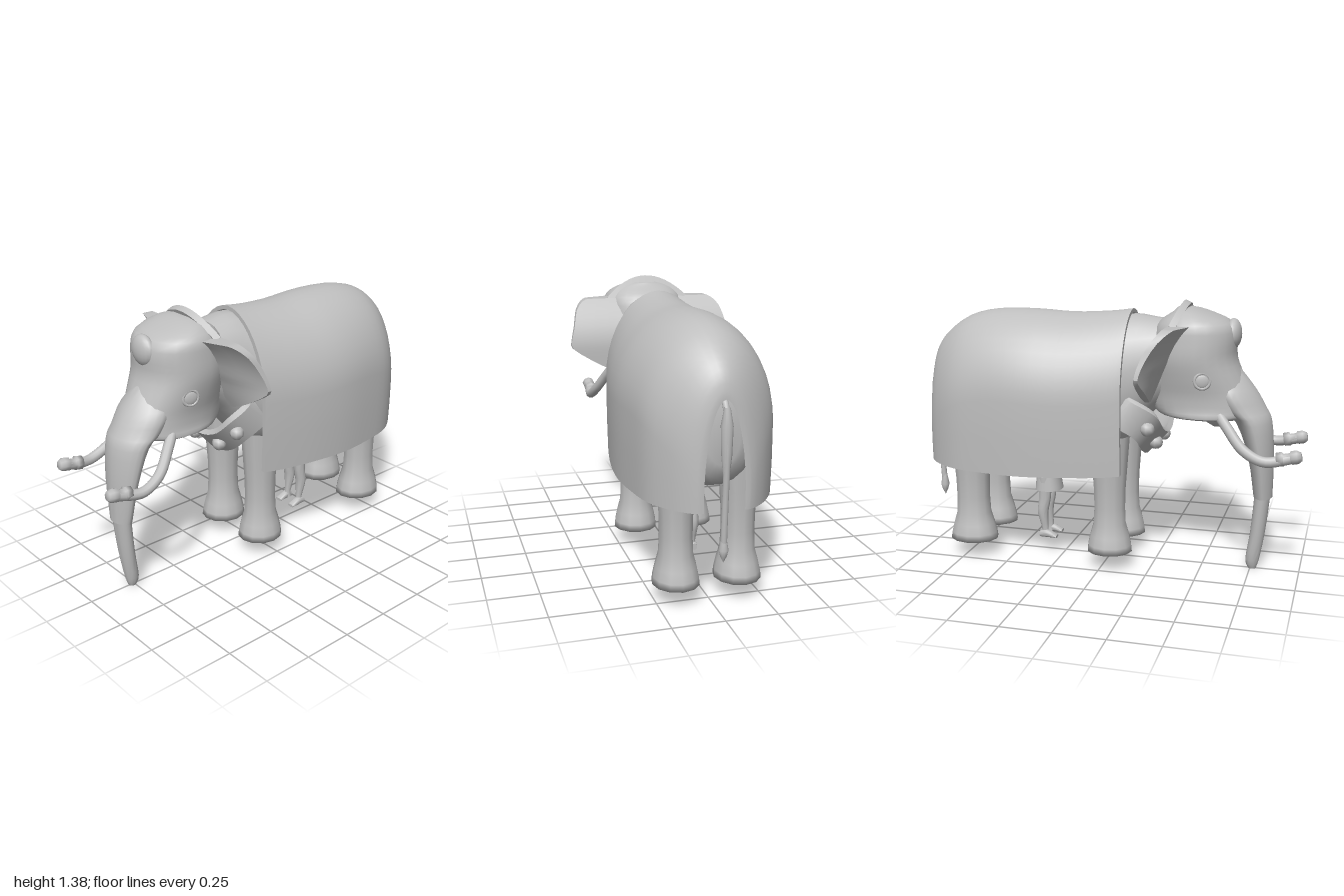
import * as THREE from 'three';
import { toCreasedNormals } from 'three/addons/utils/BufferGeometryUtils.js';

const V = (x, y, z) => new THREE.Vector3(x, y, z);

// Catmull-Rom resampling of rows of numbers, n steps per span
function smooth(rows, n = 3) {
  const out = [], row = i => rows[Math.max(0, Math.min(rows.length - 1, i))];
  for (let i = 0; i < rows.length - 1; i++)
    for (let k = 0; k < n; k++) {
      const t = k / n;
      out.push(rows[i].map((b, c) => {
        const a = row(i - 1)[c], d = row(i + 1)[c], e = row(i + 2)[c];
        return b + 0.5 * t * (d - a + t * (2 * a - 5 * b + 4 * d - e + t * (3 * (b - d) + e - a)));
      }));
    }
  out.push(rows[rows.length - 1]);
  return out;
}

// Skin through closed rings, with both ends capped
function loft(rings, crease = 0.8) {
  const m = rings[0].length, pts = rings.flat(), idx = [], last = (rings.length - 1) * m;
  for (let r = 0; r < rings.length - 1; r++)
    for (let i = 0; i < m; i++) {
      const a = r * m + i, b = r * m + (i + 1) % m;
      idx.push(a, b, b + m, a, b + m, a + m);
    }
  for (let i = 0; i < m / 2 - 1; i++) {
    const j = m - 1 - i;
    idx.push(i + 1, i, j, i + 1, j, j - 1);
    idx.push(last + i, last + i + 1, last + j - 1, last + i, last + j - 1, last + j);
  }
  let volume = 0;
  for (let i = 0; i < idx.length; i += 3)
    volume += pts[idx[i]].dot(pts[idx[i + 1]].clone().cross(pts[idx[i + 2]]));
  if (volume < 0) idx.reverse();
  const g = new THREE.BufferGeometry().setFromPoints(pts);
  g.setIndex(idx);
  return toCreasedNormals(g, crease);
}

// Superellipse ring: power under 1 is boxier, over 1 more pointed
const oval = (f, power) => Array.from({ length: 24 }, (_, i) => {
  const a = (i + 0.5) / 24 * Math.PI * 2;
  const p = v => Math.sign(v) * Math.abs(v) ** power;
  return f(p(Math.cos(a)), p(Math.sin(a)));
});
// rows: y, back z, front z, half width
const levelRings = (rows, power = 0.85, dx = 0) => smooth(rows).map(([y, b, f, w]) =>
  oval((c, s) => V(dx + w * c, y, (b + f) / 2 + s * (f - b) / 2), power));
// rows: z, top y, bottom y, half width
const uprightRings = (rows, power = 0.95, dx = 0) => smooth(rows).map(([z, t, b, w]) =>
  oval((c, s) => V(dx + w * c, (t + b) / 2 + s * (t - b) / 2, z), power));

export function createModel() {
  const model = new THREE.Group();
  const grey = new THREE.MeshStandardMaterial({ color: 0xbfbfbf });
  grey.name = 'grey';
  function add(name, geo, pos, parent = model) {
    const mesh = new THREE.Mesh(geo, grey);
    mesh.name = name;
    if (pos) mesh.position.set(...pos);
    parent.add(mesh);
    return mesh;
  }
  const tube = (pts, r, seg = 20) =>
    new THREE.TubeGeometry(new THREE.CatmullRomCurve3(pts.map(p => V(...p))), seg, r, 10);
  const lathe = (pts, n = 12) =>
    new THREE.LatheGeometry(pts.map(p => new THREE.Vector2(...p)), n);

  // Body and neck
  add('body', loft(uprightRings([
    [0.38, 1.27, 0.9, 0.15], [0.25, 1.285, 0.82, 0.18], [0.13, 1.3, 0.68, 0.21],
    [0, 1.28, 0.58, 0.26], [-0.35, 1.28, 0.54, 0.31], [-0.7, 1.24, 0.55, 0.26],
    [-0.87, 1.12, 0.6, 0.18], [-0.93, 1.0, 0.7, 0.08]])));

  // Blanket: thick arch sections, open at the rear for the tail
  const arch = (z, top, w, hem) => {
    const base = top - 0.43, pts = [V(w * 0.985, hem, z), V(w, (hem + base) / 2, z)];
    for (let i = 0; i <= 20; i++) {
      const a = i / 20 * Math.PI, c = Math.cos(a);
      pts.push(V(w * Math.sign(c) * Math.abs(c) ** 1.05, base + 0.43 * Math.abs(Math.sin(a)) ** 1.05, z));
    }
    pts.push(V(-w, (hem + base) / 2, z), V(-w * 0.985, hem, z));
    return pts;
  };
  add('blanket', loft(smooth([
    [0.12, 1.325, 0.28, 0.52], [0, 1.31, 0.305, 0.51], [-0.2, 1.3, 0.338, 0.505],
    [-0.4, 1.31, 0.35, 0.5], [-0.6, 1.305, 0.33, 0.5], [-0.76, 1.265, 0.295, 0.5],
    [-0.88, 1.18, 0.22, 0.5], [-0.94, 1.1, 0.155, 0.5], [-0.96, 1.02, 0.115, 0.5]])
    .map(([z, t, w, h]) => [...arch(z, t, w, h), ...arch(z, t - 0.02, w - 0.02, h).reverse()])));

  // Head, forehead bump, lip and trunk
  add('head', loft(levelRings([
    [1.34, 0.35, 0.43, 0.06], [1.32, 0.33, 0.5, 0.14], [1.27, 0.26, 0.62, 0.2],
    [1.2, 0.23, 0.648, 0.213], [1.1, 0.22, 0.65, 0.217], [1.0, 0.22, 0.69, 0.2],
    [0.92, 0.22, 0.725, 0.182], [0.85, 0.23, 0.74, 0.178], [0.81, 0.27, 0.72, 0.182],
    [0.795, 0.35, 0.68, 0.14]], 0.9)));
  add('foreheadBump', new THREE.SphereGeometry(0.076, 18, 12), [0, 1.215, 0.628]).scale.z = 0.55;
  add('lowerLip', loft(levelRings([
    [0.86, 0.4, 0.66, 0.1], [0.79, 0.47, 0.62, 0.07], [0.745, 0.54, 0.575, 0.025]])));
  add('upperTrunk', loft(levelRings([
    [1.08, 0.5, 0.64, 0.06], [0.95, 0.5, 0.745, 0.15], [0.85, 0.56, 0.805, 0.152],
    [0.78, 0.65, 0.835, 0.142], [0.6, 0.72, 0.85, 0.115], [0.39, 0.755, 0.85, 0.075]], 1.18)));
  add('lowerTrunk', loft(levelRings([
    [0.42, 0.762, 0.842, 0.06], [0.2, 0.745, 0.82, 0.048], [0.05, 0.725, 0.795, 0.034],
    [0, 0.74, 0.78, 0.018]], 1)));

  // Headband arching over the crown
  add('headband', loft(Array.from({ length: 17 }, (_, i) => {
    const a = (i / 16 - 0.5) * 2, y = 1.375 - 0.105 * a * a, z = 0.385 - 0.04 * a * a, x = 0.217 * a;
    return [V(x, y, z), V(x * 0.98, y - 0.07, z - 0.03), V(x * 0.98, y - 0.08, z), V(x, y - 0.015, z + 0.03)];
  }), 0.6));

  // Tail with tuft
  add('tail', tube([[0, 1.0, -0.92], [0, 0.96, -0.96], [0, 0.82, -0.982], [0, 0.55, -0.965], [0, 0.34, -0.953]], 0.015));
  add('tailRoot', lathe([[0.013, -0.16], [0.024, -0.05], [0.028, 0.08], [0.014, 0.16]]), [0, 0.81, -0.972]);
  add('tailTuft', lathe([[0, 0.26], [0.015, 0.29], [0.023, 0.32], [0.012, 0.38]]), [0, 0, -0.952]);

  // Collar: a wide band hung around the chest, with studs
  const collarPath = new THREE.CatmullRomCurve3(
    [[-0.19, 0.9, 0.11], [-0.235, 0.875, 0.2], [-0.215, 0.82, 0.29], [-0.12, 0.735, 0.312], [0, 0.705, 0.318],
      [0.12, 0.735, 0.312], [0.215, 0.82, 0.29], [0.235, 0.875, 0.2], [0.19, 0.9, 0.11]].map(p => V(...p)));
  const narrow = V(0.87, 1, 1);
  add('collar', loft(collarPath.getPoints(28).map(p => [
    p, p.clone().add(V(0, -0.12, -0.11)),
    p.clone().multiply(narrow).add(V(0, -0.1, -0.13)),
    p.clone().multiply(narrow).add(V(0, 0.02, -0.02))]), 0.5));
  for (const t of [0.26, 0.4, 0.6, 0.74]) {
    const p = collarPath.getPoint(t);
    add('collarStud', new THREE.SphereGeometry(0.037, 8, 6), [p.x, p.y - 0.06, p.z - 0.05]);
  }

  // Ear rows: y, outer x
  const earRows = smooth([[0.885, 0.19], [0.92, 0.27], [0.965, 0.35], [1.02, 0.43], [1.06, 0.435],
    [1.13, 0.416], [1.21, 0.395], [1.252, 0.36], [1.265, 0.33]], 2);
  for (const s of [1, -1]) {
    // Ear: a wedge, thick at the root and thin at the tip
    add('ear', loft(earRows.map(([y, outer]) => {
      const xs = [0, 0.3, 0.6, 0.85, 1].map(t => 0.15 + t * (outer - 0.15));
      const back = 0.225 + 1.6 * Math.max(0, y - 1) ** 2;
      const depth = x => 0.022 + 0.085 * Math.min(1, (0.43 - x) / 0.23) * Math.min(1, (y - 0.88) / 0.2);
      return [...xs.map(x => V(s * x, y, back)), ...xs.map(x => V(s * x, y, back + depth(x))).reverse()];
    }), 0.6));

    // Eye
    const eye = new THREE.Group();
    eye.name = 'eye';
    eye.position.set(s * 0.194, 1.005, 0.51);
    eye.rotation.y = s * 1.3;
    model.add(eye);
    add('eyelid', new THREE.TorusGeometry(0.038, 0.008, 8, 20), null, eye);
    add('eyeball', new THREE.SphereGeometry(0.036, 14, 10), null, eye).scale.z = 0.3;

    // Tusk with ring and capped tip
    add('tusk', tube([[s * 0.14, 0.84, 0.58], [s * 0.17, 0.78, 0.63], [s * 0.215, 0.68, 0.72],
      [s * 0.225, 0.632, 0.82], [s * 0.21, 0.645, 0.92], [s * 0.205, 0.66, 0.97]], 0.026, 24));
    const tip = add('tuskCap', lathe([[0, -0.06], [0.035, -0.06], [0.036, -0.03], [0.025, -0.024],
      [0.025, 0.006], [0.034, 0.012], [0.034, 0.04], [0.022, 0.06], [0, 0.06]], 8), [s * 0.207, 0.655, 0.94]);
    tip.rotation.x = Math.PI / 2 - 0.2;

    // Legs
    const leg = [[0, 0.086], [0.113, 0.086], [0.109, 0.12], [0.098, 0.17], [0.082, 0.23], [0.078, 0.32],
      [0.08, 0.42], [0.087, 0.52], [0.1, 0.7]];
    add('frontLeg', lathe(leg), [s * 0.152, 0, 0.037]).scale.z = 1.05;
    add('rearLeg', lathe(leg), [s * 0.15, 0, -0.718]).scale.z = 1.14;

    // Leg, foot and arm of the attendant underneath
    add('attendantLeg', loft(levelRings([
      [0.42, -0.385, -0.31, 0.033], [0.3, -0.385, -0.32, 0.028], [0.22, -0.392, -0.335, 0.028],
      [0.13, -0.37, -0.335, 0.016], [0.09, -0.375, -0.33, 0.018]], 1, s * 0.045)));
    add('attendantFoot', loft(uprightRings([
      [-0.38, 0.115, 0.082, 0.014], [-0.34, 0.125, 0.082, 0.02], [-0.285, 0.097, 0.082, 0.022]], 0.85, s * 0.05)));
    add('attendantArm', tube([[s * 0.08, 0.62, -0.36], [s * 0.095, 0.52, -0.35], [s * 0.08, 0.44, -0.295]], 0.018, 10));
  }

  // Attendant's tunic, reaching up under the belly
  add('attendantTunic', loft(levelRings([
    [0.6, -0.4, -0.29, 0.075], [0.5, -0.395, -0.29, 0.07], [0.42, -0.405, -0.28, 0.075],
    [0.345, -0.412, -0.268, 0.08]])));
  return model;
}
